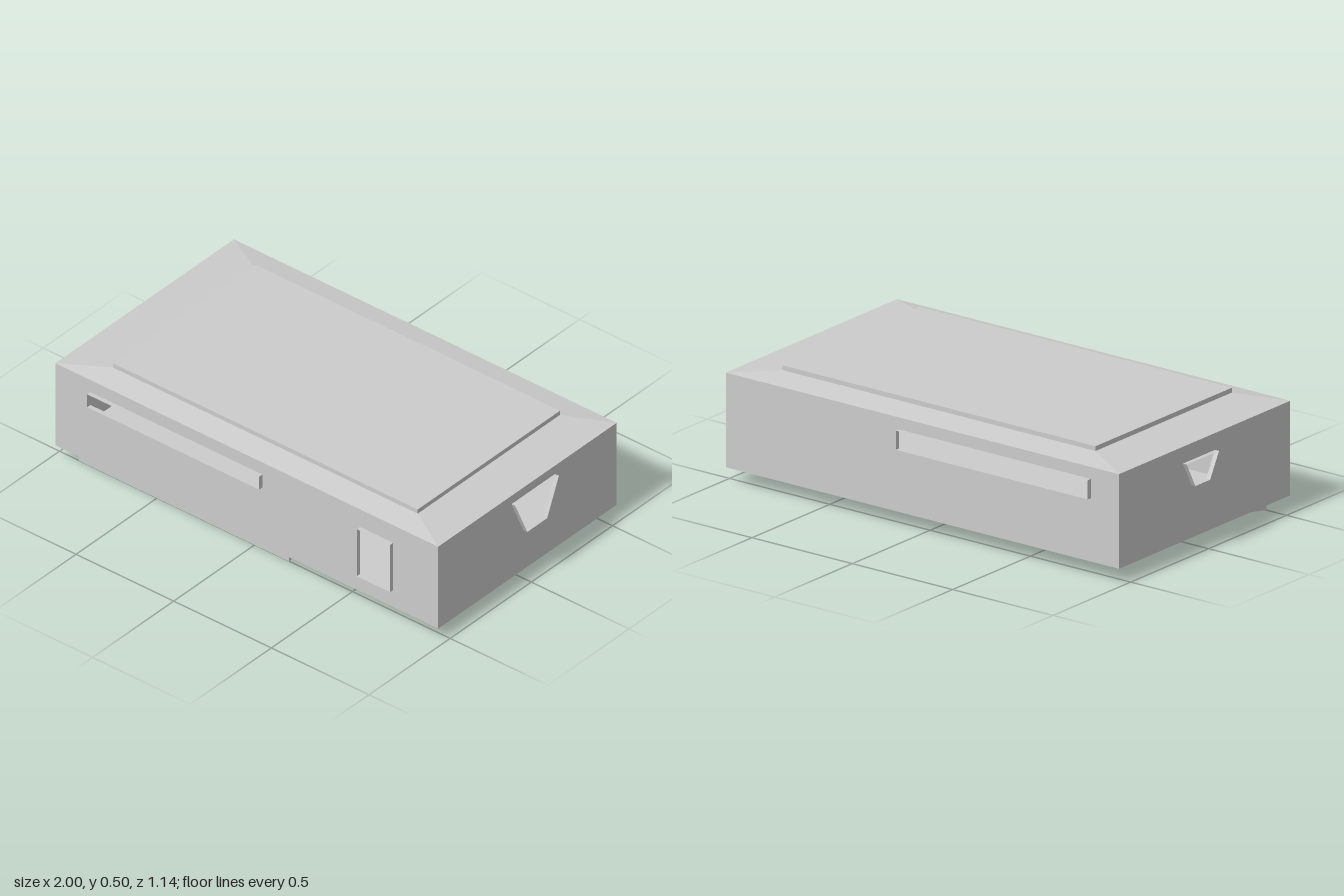
import * as THREE from 'three';

const material = new THREE.MeshStandardMaterial({ color: 0xcccccc, flatShading: true, side: THREE.DoubleSide });
const W = 0.98, D = 0.55, FLOOR = 0.065, EAVE = 0.46, LIP = 0.02;

function add(parent, name, geometry) {
  const mesh = new THREE.Mesh(geometry, material);
  mesh.name = name;
  parent.add(mesh);
  return mesh;
}

// Joins consecutive closed rings of [x, y, z] points with strips of quads
function loft(rings, capEnd = false) {
  const n = rings[0].length, index = [];
  for (let r = 0; r < rings.length - 1; r++) {
    for (let i = 0; i < n; i++) {
      const a = r * n + i, b = r * n + (i + 1) % n;
      index.push(a, b, b + n, a, b + n, a + n);
    }
  }
  if (capEnd) {
    const s = (rings.length - 1) * n;
    for (let i = 1; i < n - 1; i++) index.push(s, s + i, s + i + 1);
  }
  const geometry = new THREE.BufferGeometry();
  geometry.setAttribute('position', new THREE.Float32BufferAttribute(rings.flat(2), 3));
  geometry.setIndex(index);
  const flat = geometry.toNonIndexed();
  flat.computeVertexNormals();
  return flat;
}

const rect = (x0, x1, y0, y1) => [[x0, y0], [x1, y0], [x1, y1], [x0, y1]];
const toShape = (pts, Type = THREE.Shape) => new Type(pts.map(p => new THREE.Vector2(p[0], p[1])));

// Thin wall pierced by openings, each with a projecting lip
function wall(name, halfWidth, openings, out) {
  const group = new THREE.Group();
  group.name = name;
  const shape = toShape(rect(-halfWidth, halfWidth, FLOOR, EAVE));
  for (const o of openings) shape.holes.push(toShape(o.points, THREE.Path));
  add(group, name + 'Panel', new THREE.ShapeGeometry(shape));
  for (const o of openings) {
    add(group, o.name, loft([0, out * LIP].map(z => o.points.map(p => [p[0], p[1], z]))));
  }
  return group;
}

export function createModel() {
  const model = new THREE.Group();
  model.name = 'bunker';

  // Front wall with long slit and doorway, back wall with long slit
  const front = wall('frontWall', W, [
    { name: 'frontSlitLip', points: rect(-0.8, 0.08, 0.34, 0.402) },
    { name: 'doorwayLip', points: rect(0.58, 0.75, 0.148, 0.375) },
  ], 1);
  front.position.z = D;
  const back = wall('backWall', W, [
    { name: 'backSlitLip', points: rect(-0.84, 0.117, 0.33, 0.41) },
  ], -1);
  back.position.z = -D;

  // Side walls with tapered ports, drawn in (z, y)
  const sides = [
    [1, 'leftWall', [[-0.098, 0.255], [0.025, 0.255], [0.098, 0.42], [-0.17, 0.42]]],
    [-1, 'rightWall', [[-0.085, 0.285], [0.01, 0.285], [0.067, 0.39], [-0.14, 0.39]]],
  ].map(([side, name, points]) => {
    const g = wall(name, D, [{ name: name + 'PortLip', points }], -side);
    g.rotation.y = -Math.PI / 2;
    g.position.x = side * W;
    return g;
  });
  model.add(front, back, ...sides);

  // Shallow sloping roof rising to a flat slab
  const ring = (x0, x1, z0, z1, y) => [[x0, y, z1], [x1, y, z1], [x1, y, z0], [x0, y, z0]];
  const top = y => ring(-0.77, 0.79, -0.43, 0.447, y);
  add(model, 'roofSlope', loft([ring(-W, W, -D, D, EAVE), top(0.478)]));
  add(model, 'roofSlab', loft([top(0.478), top(0.498)], true));

  // Floor
  const floor = add(model, 'floor', new THREE.PlaneGeometry(2 * W, 2 * D));
  floor.rotation.x = Math.PI / 2;
  floor.position.y = FLOOR;

  // Foundation block below the doorway
  const block = add(model, 'doorFoundation', new THREE.BoxGeometry(0.336, FLOOR - 0.021, 0.366));
  block.position.set(0.667, (FLOOR + 0.021) / 2, 0.318);

  // Wedge foundation below the slit, deepest at the front
  const wedge = new THREE.ExtrudeGeometry(
    toShape([[0.135, FLOOR], [0.502, 0], [0.502, FLOOR]]), { depth: 1.075, bevelEnabled: false });
  const foot = add(model, 'wedgeFoundation', wedge);
  foot.rotation.y = -Math.PI / 2;
  foot.position.x = 0.177;

  return model;
}
